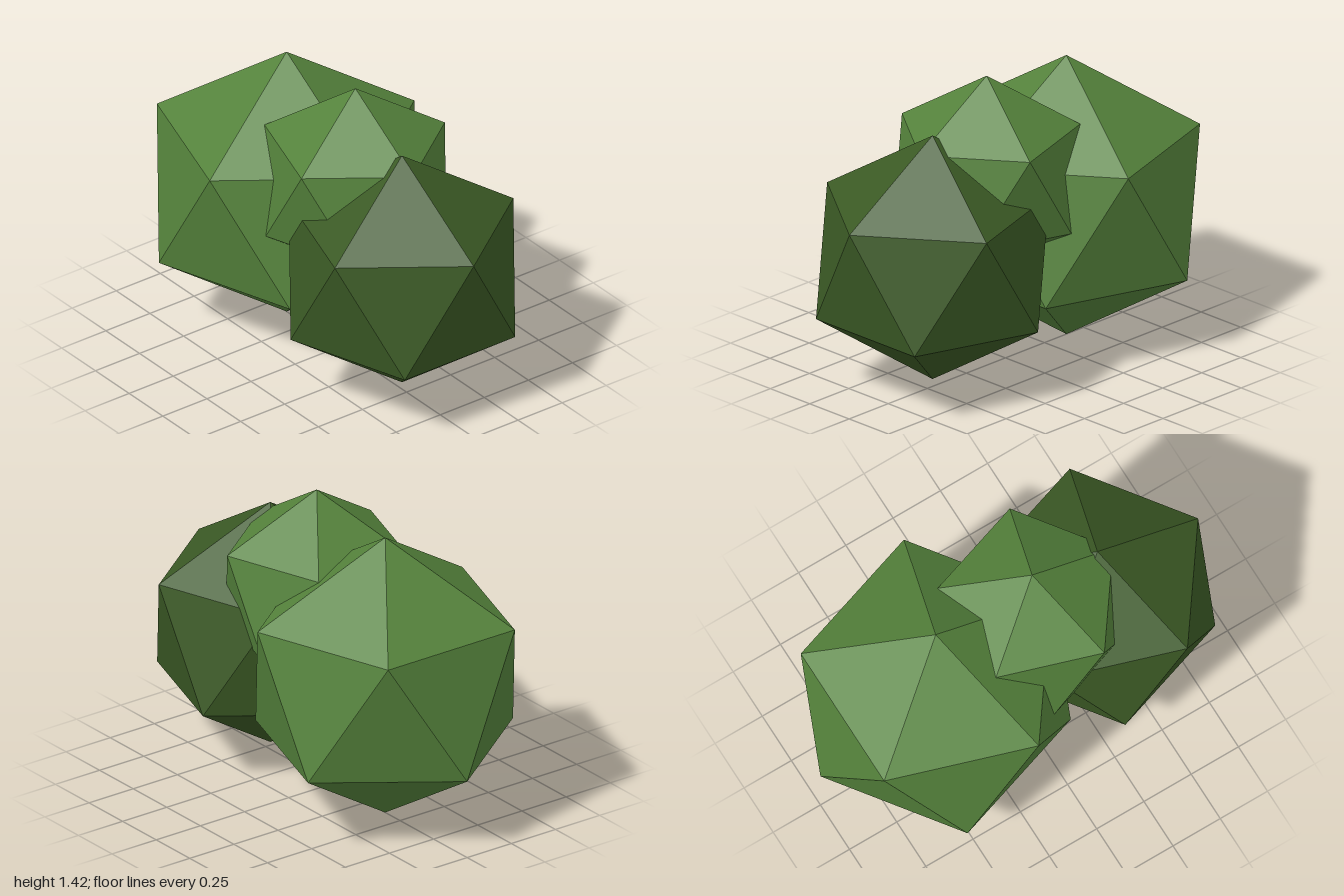
import * as THREE from 'three';

// Low-poly bush: three overlapping icosahedral leaf clumps
export function createModel() {
  const group = new THREE.Group();
  group.name = 'bush';

  const leafGreen = new THREE.MeshStandardMaterial({ color: 0x55833c, flatShading: true });
  leafGreen.name = 'leaf green';
  const darkGreen = new THREE.MeshStandardMaterial({ color: 0x3b5a25, flatShading: true });
  darkGreen.name = 'dark leaf green';

  // Tilt that stands an icosahedron on one corner, with an upper corner towards +x
  const tilt = -Math.atan(2 / (1 + Math.sqrt(5)));

  function addClump(name, radius, x, y, material) {
    const geometry = new THREE.IcosahedronGeometry(radius, 0);
    geometry.rotateZ(tilt);
    const mesh = new THREE.Mesh(geometry, material);
    mesh.name = name;
    mesh.position.set(x, y, 0);
    group.add(mesh);
  }

  addClump('largeClump', 0.682, -0.39, 0.686, leafGreen);
  addClump('topClump', 0.478, 0.12, 0.941, leafGreen);
  addClump('darkClump', 0.595, 0.466, 0.635, darkGreen);

  return group;
}
